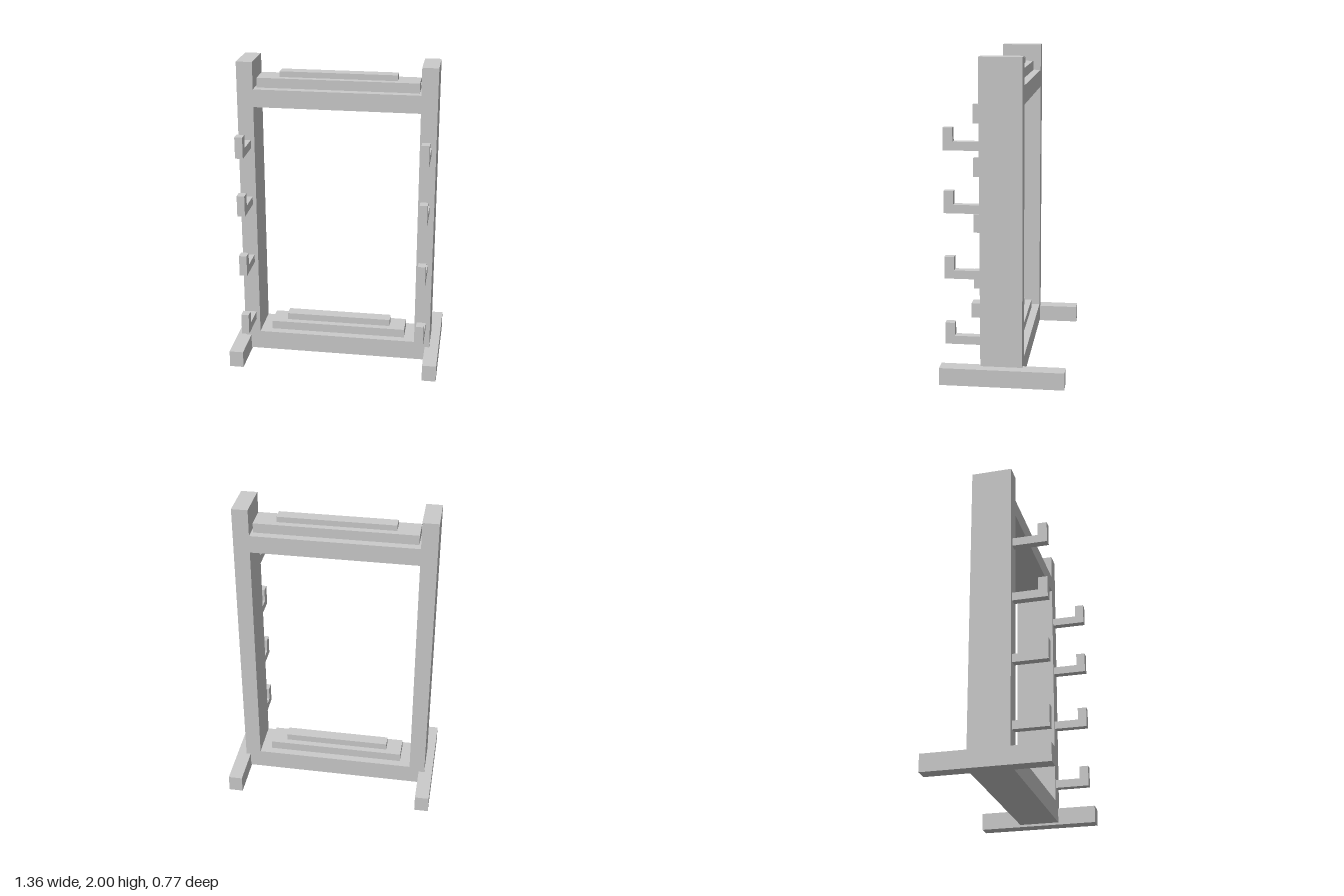
import * as THREE from 'three';

const material = new THREE.MeshStandardMaterial({ color: 0xcccccc, flatShading: true });

// Box given by its spans along x, y and z
function box(name, [x0, x1], [y0, y1], [z0, z1]) {
  const geometry = new THREE.BoxGeometry(x1 - x0, y1 - y0, z1 - z0);
  geometry.translate((x0 + x1) / 2, (y0 + y1) / 2, (z0 + z1) / 2);
  const mesh = new THREE.Mesh(geometry, material);
  mesh.name = name;
  return mesh;
}

// Closed outline pushed out to a given depth along z
function extrude(name, points, depth, hole) {
  const shape = new THREE.Shape(points.map(([x, y]) => new THREE.Vector2(x, y)));
  if (hole) shape.holes.push(new THREE.Path(hole.map(([x, y]) => new THREE.Vector2(x, y))));
  const geometry = new THREE.ExtrudeGeometry(shape, { depth, bevelEnabled: false });
  const mesh = new THREE.Mesh(geometry, material);
  mesh.name = name;
  return mesh;
}

export function createModel() {
  const model = new THREE.Group();
  model.name = 'rack';

  const rack = new THREE.Group();
  rack.name = 'upperRack';
  rack.position.x = -0.004;
  model.add(rack);

  // Frame: two posts joined by a top and a bottom beam
  const outer = 0.624, inner = 0.522, back = -0.121, front = 0.138;
  const frame = extrude('frame',
    [[-outer, 0.015], [outer, 0.015], [outer, 2], [inner, 2],
      [inner, 1.828], [-inner, 1.828], [-inner, 2], [-outer, 2]],
    front - back,
    [[-inner, 0.143], [-inner, 1.715], [inner, 1.715], [inner, 0.143]]);
  frame.position.z = back;
  rack.add(frame);

  // Stepped slabs on both beams
  const wideZ = [-0.071, 0.087], narrowZ = [-0.031, 0.046];
  rack.add(
    box('topWideSlab', [-0.508, 0.508], [1.828, 1.89], wideZ),
    box('topNarrowSlab', [-0.369, 0.369], [1.89, 1.926], narrowZ),
    box('bottomWideSlab', [-0.45, 0.45], [0.143, 0.2], wideZ),
    box('bottomNarrowSlab', [-0.348, 0.348], [0.2, 0.245], narrowZ));

  // L-shaped hooks up the front of each post; profile is (z, y)
  const hookProfile = [[front, 0], [0.358, 0], [0.358, 0.136], [0.299, 0.136],
    [0.299, 0.053], [front, 0.053]];
  const hookWidth = 0.049;
  for (const y of [0.237, 0.656, 1.064, 1.446]) {
    for (const side of [-1, 1]) {
      const hook = extrude(side > 0 ? 'leftHook' : 'rightHook', hookProfile, hookWidth);
      hook.rotation.y = -Math.PI / 2;
      hook.position.set(side * 0.57 + hookWidth / 2, y, 0);
      rack.add(hook);
    }
  }

  // Feet running front to back outside the posts
  model.add(
    box('leftFoot', [0.59, 0.681], [0, 0.11], [-0.385, 0.385]),
    box('rightFoot', [-0.681, -0.59], [0, 0.11], [-0.385, 0.385]));

  return model;
}
